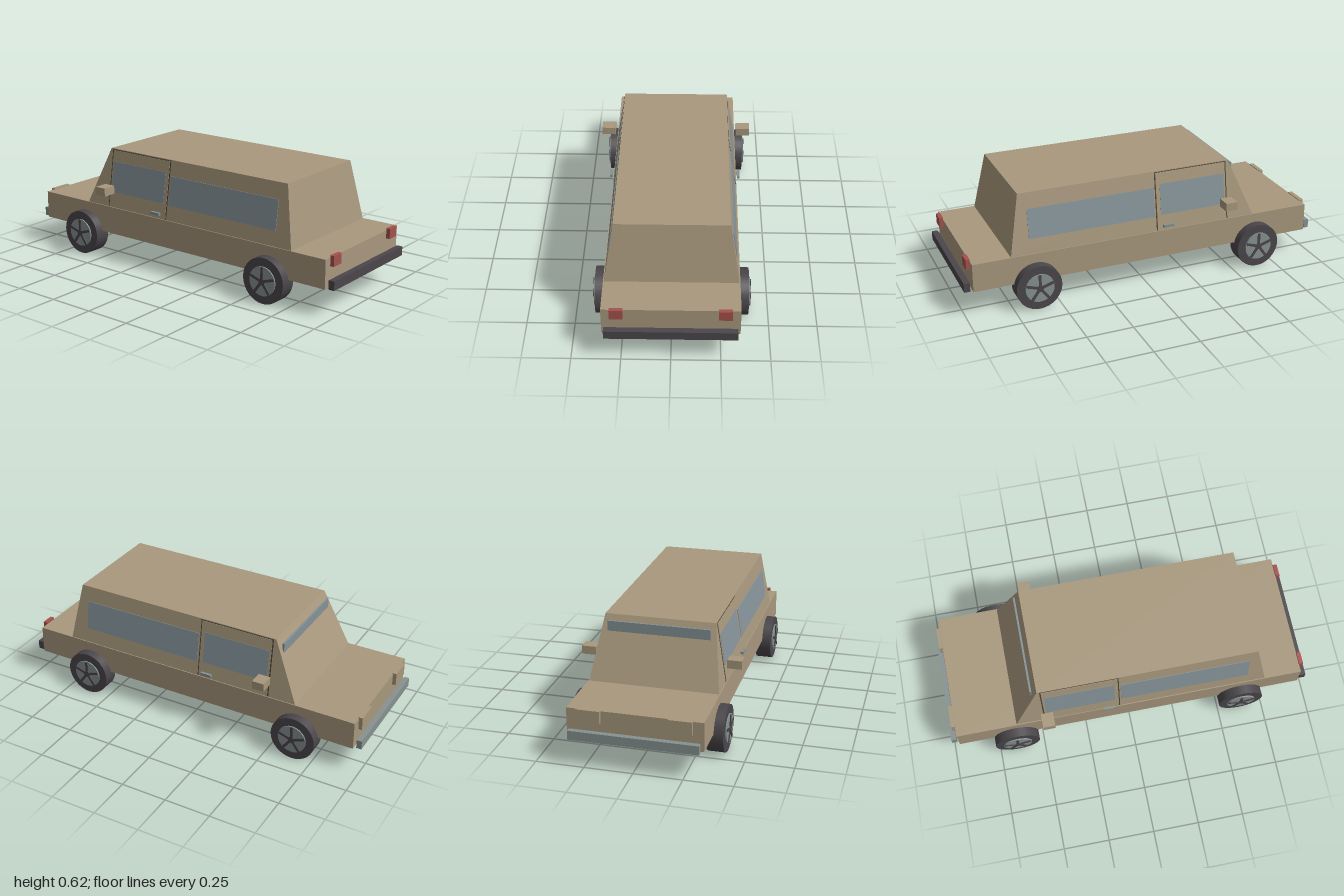
import * as THREE from 'three';

const mat = (name, color) => {
  const m = new THREE.MeshStandardMaterial({ color });
  m.name = name;
  return m;
};

export function createModel() {
  const car = new THREE.Group();
  car.name = 'car';
  const paint = mat('tan paint', 0xa8987d);
  const glass = mat('window glass', 0x859398);
  const chrome = mat('grey metal', 0x869290);
  const rubber = mat('dark rubber', 0x4a464b);
  const red = mat('tail light red', 0xa5524c);
  const black = mat('shut line', 0x4d4538);

  const add = (name, geo, material, parent = car) => {
    const m = new THREE.Mesh(geo, material);
    m.name = name;
    parent.add(m);
    return m;
  };
  // Box given by its minimum and maximum on each axis
  const boxGeo = (x0, x1, y0, y1, z0, z1) =>
    new THREE.BoxGeometry(x1 - x0, y1 - y0, z1 - z0)
      .translate((x0 + x1) / 2, (y0 + y1) / 2, (z0 + z1) / 2);
  const warp = (geo, rule) => {
    const p = geo.attributes.position;
    for (let i = 0; i < p.count; i++) p.setXYZ(i, ...rule(p.getX(i), p.getY(i), p.getZ(i)));
    geo.computeVertexNormals();
    return geo;
  };

  // Lower body and tapered cabin
  const beltY = 0.295, roofY = 0.617;
  add('lowerBody', boxGeo(-0.96, 0.955, 0.142, beltY, -0.345, 0.345), paint);
  const sideZ = (y) => 0.34 - 0.05 * (y - beltY) / (roofY - beltY);
  add('cabin', warp(boxGeo(-0.63, 0.75, beltY, roofY, -1, 1), (x, y, z) => [
    y > 0.5 ? (x < 0 ? -0.49 : 0.69) : x, y, Math.sign(z) * sideZ(y),
  ]), paint);
  add('windshield', boxGeo(-0.525, -0.515, 0.4, 0.59, -0.27, 0.27), glass);

  // Thin plate that follows the slope of the cabin side
  const sidePlate = (name, s, x0, x1, y0, y1, proud, material) =>
    add(name, warp(boxGeo(x0, x1, y0, y1, -proud, proud),
      (x, y, z) => [x, y, z + s * sideZ(y)]), material);

  for (const s of [-1, 1]) {
    // Door, its shut lines and the side windows
    sidePlate('doorPanel', s, -0.47, -0.064, 0.297, 0.609, 0.003, paint);
    sidePlate('frontShutLine', s, -0.477, -0.47, 0.297, 0.613, 0.001, black);
    sidePlate('rearShutLine', s, -0.064, -0.058, 0.297, 0.613, 0.001, black);
    sidePlate('topShutLine', s, -0.47, -0.064, 0.609, 0.613, 0.001, black);
    sidePlate('doorWindow', s, -0.46, -0.085, 0.38, 0.548, 0.0045, glass);
    sidePlate('rearSideWindow', s, -0.05, 0.648, 0.375, 0.532, 0.003, glass);

    // Fittings repeated on each side
    const fitting = (name, x, y, w, h, z0, z1, material) =>
      add(name, boxGeo(x - w / 2, x + w / 2, y - h / 2, y + h / 2,
        Math.min(s * z0, s * z1), Math.max(s * z0, s * z1)), material);
    fitting('doorHandle', -0.12, 0.325, 0.06, 0.014, 0.348, 0.363, chrome);
    fitting('sideMirror', -0.457, 0.401, 0.065, 0.045, 0.348, 0.424, paint);
    fitting('headlight', -0.968, 0.265, 0.024, 0.07, 0.17, 0.29, paint);
    fitting('tailLight', 0.965, 0.279, 0.022, 0.055, 0.235, 0.303, red);
  }

  // Bumpers
  add('frontBumper', boxGeo(-1, -0.972, 0.142, 0.19, -0.33, 0.33), chrome);
  add('rearBumper', boxGeo(0.968, 1, 0.142, 0.19, -0.333, 0.333), rubber);

  // Wheels: tyre, rim disc and five dark spokes on the outside
  const disc = (r, z0, z1, sides) => new THREE.CylinderGeometry(r, r, z1 - z0, sides)
    .rotateX(Math.PI / 2).translate(0, 0, (z0 + z1) / 2);
  for (const x of [-0.645, 0.62]) {
    for (const s of [-1, 1]) {
      const wheel = new THREE.Group();
      wheel.name = 'wheel';
      wheel.position.set(x, 0.1225, 0);
      if (s < 0) wheel.rotation.y = Math.PI;
      add('tyre', disc(0.1225, 0.305, 0.394, 32), rubber, wheel);
      add('rim', disc(0.078, 0.39, 0.401, 24), chrome, wheel);
      add('hub', disc(0.018, 0.4, 0.407, 12), rubber, wheel);
      for (let i = 0; i < 5; i++) {
        const spoke = boxGeo(-0.007, 0.007, 0.01, 0.076, 0.4, 0.406);
        add('spoke', spoke.rotateZ(i * Math.PI * 2 / 5), rubber, wheel);
      }
      car.add(wheel);
    }
  }
  return car;
}
